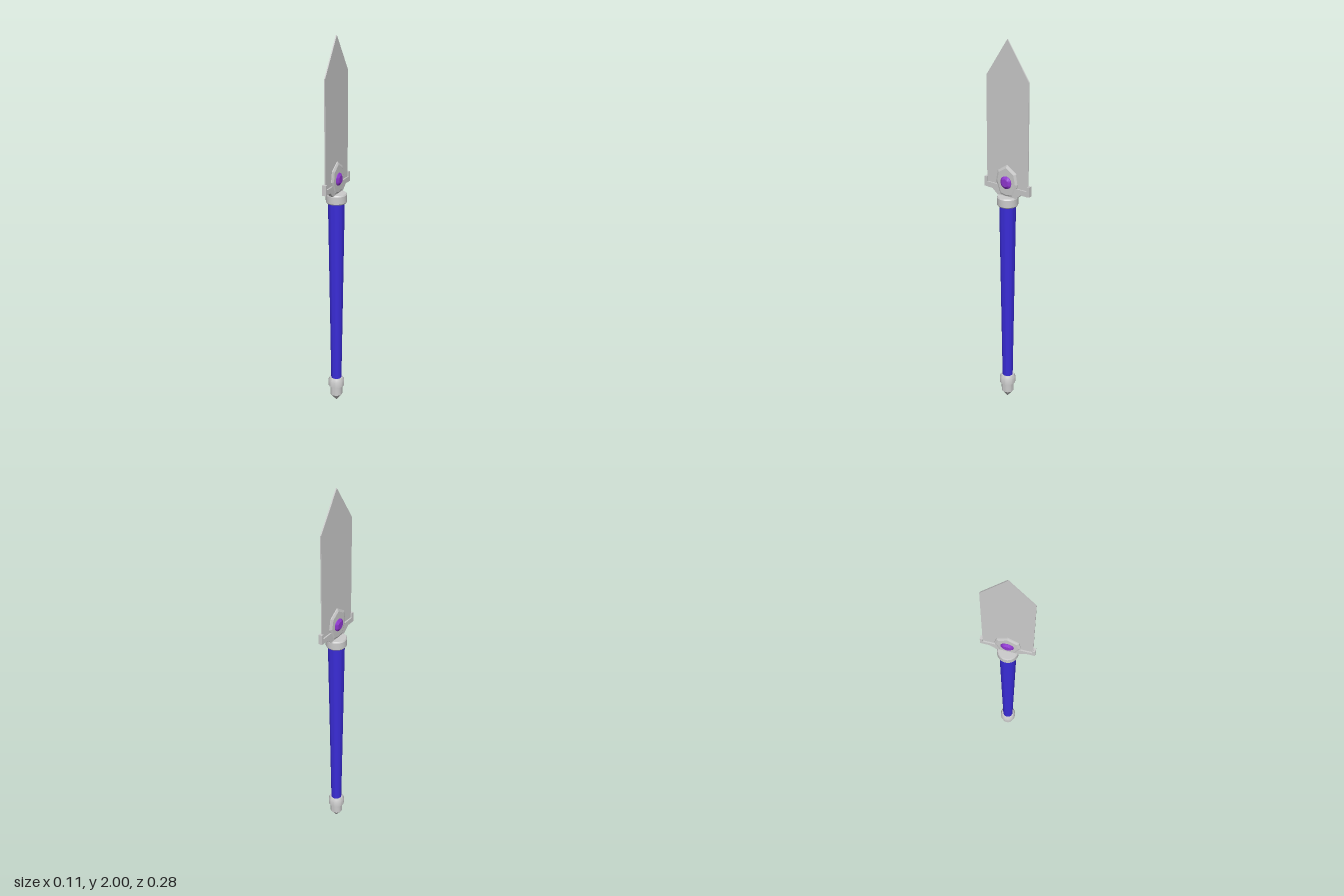
import * as THREE from 'three';
import { toCreasedNormals } from 'three/addons/utils/BufferGeometryUtils.js';

const grey = new THREE.MeshStandardMaterial({ color: 0xcccccc });
const blue = new THREE.MeshStandardMaterial({ color: 0x3a2cd8 });
const purple = new THREE.MeshStandardMaterial({ color: 0x9038d0 });

function addMesh(parent, name, geometry, material) {
  const mesh = new THREE.Mesh(geometry, material);
  mesh.name = name;
  parent.add(mesh);
  return mesh;
}

// Turned part around y from [radius, height] points, bottom to top.
function turned(points, segments = 32) {
  const profile = points.map(([r, y]) => new THREE.Vector2(r, y));
  return toCreasedNormals(new THREE.LatheGeometry(profile, segments), 0.5);
}

// Plate lying in the zy plane, from one half [z, y] outline mirrored in z.
function plate(half, thickness, bevel = 0, inset = 0) {
  const mirrored = half.filter(([z]) => z > 0).map(([z, y]) => [-z, y]).reverse();
  const shape = new THREE.Shape([...half, ...mirrored].map(([z, y]) => new THREE.Vector2(z, y)));
  const depth = thickness - 2 * bevel;
  const geometry = new THREE.ExtrudeGeometry(shape, {
    depth, bevelEnabled: bevel > 0, bevelThickness: bevel,
    bevelSize: inset, bevelOffset: -inset, bevelSegments: 1,
  });
  return geometry.translate(0, 0, -depth / 2).rotateY(-Math.PI / 2);
}

export function createModel() {
  const model = new THREE.Group();
  model.name = 'dagger';

  // Pommel: pointed end, neck and chamfered ring
  addMesh(model, 'pommel', turned([
    [0, 0], [0.033, 0.042], [0.033, 0.097], [0.043, 0.097],
    [0.043, 0.13], [0.035, 0.146], [0, 0.146],
  ]), grey);

  // Tapered grip
  addMesh(model, 'grip', turned([[0, 0.14], [0.028, 0.14], [0.043, 1.165], [0, 1.165]]), blue);

  // Collar at the top of the grip
  addMesh(model, 'collar', turned([
    [0, 1.158], [0.05, 1.158], [0.054, 1.164], [0.054, 1.202], [0.05, 1.209], [0, 1.209],
  ]), grey);

  // Thin blade
  addMesh(model, 'blade', plate([[0, 1.23], [0.127, 1.23], [0.127, 1.812], [0, 2]], 0.006), grey);

  // Crossguard with upturned ends
  addMesh(model, 'crossguard', plate([
    [0, 1.205], [0.055, 1.205], [0.09, 1.235], [0.139, 1.235],
    [0.139, 1.288], [0.124, 1.288], [0.124, 1.262], [0, 1.262],
  ], 0.02), grey);

  // Bevelled shield that holds the gem
  addMesh(model, 'gemMount', plate([
    [0, 1.205], [0.042, 1.212], [0.067, 1.282], [0.056, 1.338], [0, 1.375],
  ], 0.027, 0.006, 0.012), grey);

  // Chamfered gem showing on both faces
  const gem = addMesh(model, 'gem', turned([
    [0, -0.026], [0.02, -0.026], [0.033, -0.017],
    [0.033, 0.017], [0.02, 0.026], [0, 0.026],
  ], 24), purple);
  gem.rotation.z = Math.PI / 2;
  gem.position.y = 1.284;

  return model;
}
